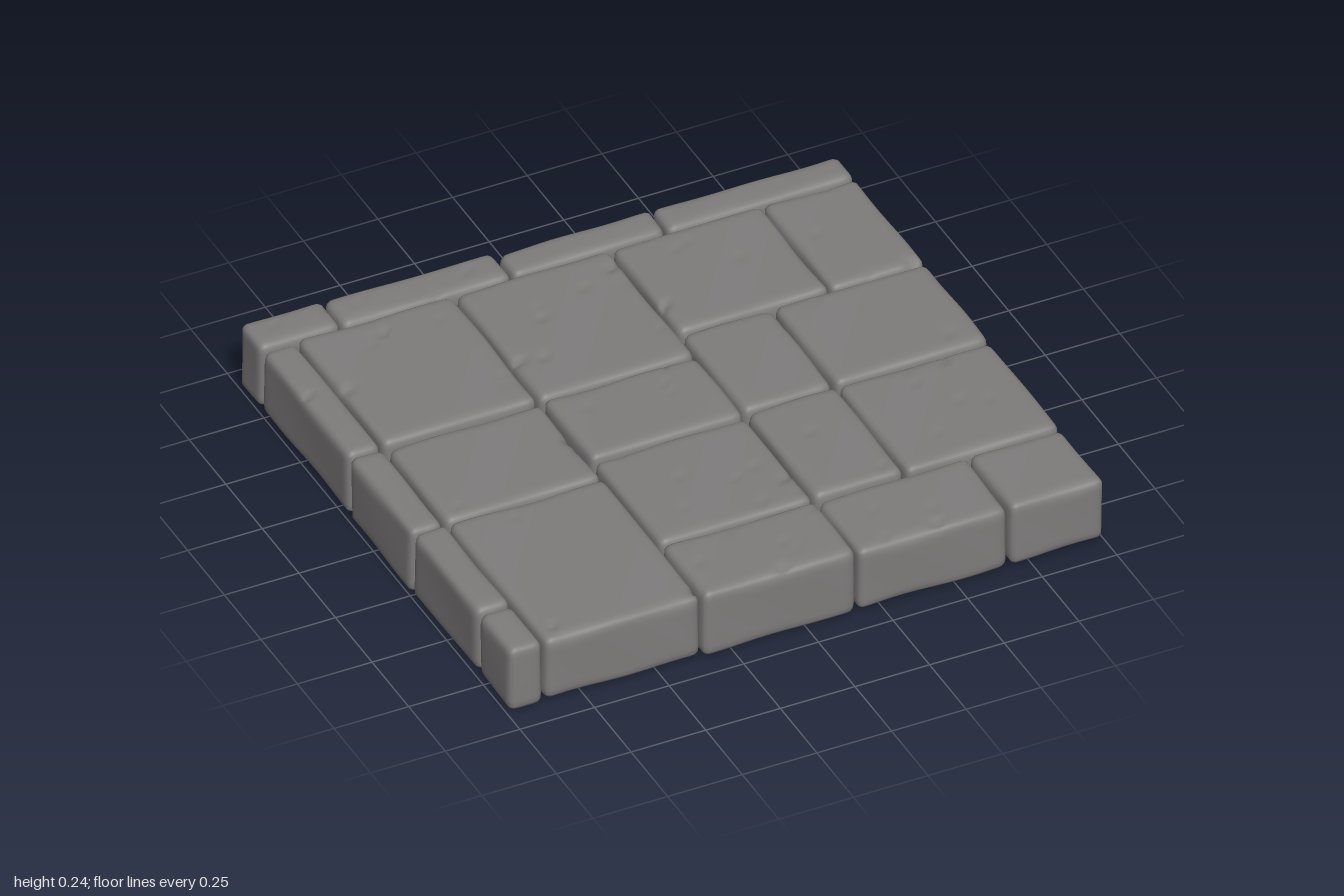
import * as THREE from 'three';
import { mergeVertices } from 'three/addons/utils/BufferGeometryUtils.js';

const clamp = THREE.MathUtils.clamp;

// Small seeded generator
function seeded(seed) {
  let s = seed;
  return () => (s = (s * 16807) % 2147483647) / 2147483647;
}

// Worn slab: a fine box grid pulled onto rounded edges, gently wavy, with pits on top and bottom
function slabGeometry(x0, x1, z0, z1, y0, y1, pits, seed) {
  const gap = 0.0025, step = 0.0185, r = 0.028;
  const w = x1 - x0 - gap * 2, d = z1 - z0 - gap * 2, h = y1 - y0;
  const segs = (n) => Math.max(6, Math.ceil(n / step));
  let geo = new THREE.BoxGeometry(w, h, d, segs(w), segs(h), segs(d));
  geo.deleteAttribute('uv');
  geo.deleteAttribute('normal');
  geo = mergeVertices(geo, 1e-5);
  const pos = geo.attributes.position;
  const p = new THREE.Vector3(), core = new THREE.Vector3(), dir = new THREE.Vector3();
  const cx = (x0 + x1) / 2, cy = (y0 + y1) / 2, cz = (z0 + z1) / 2;

  for (let i = 0; i < pos.count; i++) {
    p.fromBufferAttribute(pos, i);
    const side = Math.sign(p.y);
    // uneven wear makes the edge radius vary along the stone
    const wear = r + 0.006 * Math.sin(p.x * 17 + seed) * Math.sin(p.z * 15 + seed * 2);
    core.set(
      clamp(p.x, -w / 2 + wear, w / 2 - wear),
      clamp(p.y, -h / 2 + wear, h / 2 - wear),
      clamp(p.z, -d / 2 + wear, d / 2 - wear)
    );
    dir.subVectors(p, core);
    if (dir.lengthSq() > 1e-10) p.copy(core).addScaledVector(dir.normalize(), wear);
    // shallow waves pressed inwards
    const wave = 0.0015 * (1 + Math.sin(p.x * 11 + p.z * 8 + p.y * 13 + seed * 3));
    p.addScaledVector(dir, -wave);

    p.x += cx; p.y += cy; p.z += cz;
    for (const [px, pz, length, width, angle, depth, face] of pits) {
      if (face !== side) continue;
      const dx = p.x - px, dz = p.z - pz, c = Math.cos(angle), s = Math.sin(angle);
      const q = ((dx * c + dz * s) / length) ** 2 + ((dz * c - dx * s) / width) ** 2;
      if (q < 1 && Math.abs(p.y - cy) > h / 2 - 0.04) p.y -= side * depth * (1 - q) ** 2;
    }
    pos.setXYZ(i, p.x, p.y, p.z);
  }
  geo.computeVertexNormals();
  return geo;
}

export function createModel() {
  const group = new THREE.Group();
  const stone = new THREE.MeshStandardMaterial({ color: 0x7f7c7c });
  stone.name = 'grey stone';

  // Plan of every stone: x from, x to, z from, z to, top height
  const layout = {
    backEdgeStone: [
      [-1, -0.72, -0.93, -0.78, 0.24], [-0.72, -0.15, -0.93, -0.78, 0.236],
      [-0.15, 0.37, -0.91, -0.78, 0.238], [0.37, 1, -0.91, -0.78, 0.236],
    ],
    rightEdgeStone: [
      [-1, -0.88, -0.78, -0.18, 0.238], [-1, -0.88, -0.18, 0.25, 0.236],
      [-1, -0.88, 0.25, 0.7, 0.24], [-1, -0.88, 0.7, 0.928, 0.24],
    ],
    pavingSlab: [
      [-0.88, -0.355, -0.78, -0.18, 0.242], [-0.88, -0.355, -0.17, 0.25, 0.238],
      [-0.88, -0.35, 0.25, 0.928, 0.238],
      [-0.355, 0.17, -0.78, -0.18, 0.24], [-0.35, 0.17, -0.18, 0.16, 0.242],
      [-0.35, 0.17, 0.16, 0.63, 0.238], [-0.35, 0.17, 0.63, 0.928, 0.238],
      [0.17, 0.68, -0.78, -0.3, 0.24], [0.68, 1, -0.78, -0.3, 0.236],
      [0.17, 0.48, -0.3, 0.14, 0.238], [0.48, 1, -0.3, 0.14, 0.24],
      [0.17, 0.48, 0.14, 0.625, 0.24], [0.48, 1, 0.14, 0.625, 0.236],
      [0.17, 0.68, 0.625, 0.928, 0.23], [0.68, 1, 0.625, 0.928, 0.234],
    ],
  };

  // Larger chips: x, z, half length, half width, angle, depth, face (1 top, -1 bottom)
  const chips = [
    [-0.97, -0.51, 0.03, 0.02, 0.2], [-0.85, -0.48, 0.035, 0.022, 0.2],
    [-0.33, -0.38, 0.04, 0.022, 0.4], [-0.25, -0.37, 0.025, 0.02, 0],
    [0.14, -0.69, 0.05, 0.022, -0.5], [0.19, -0.44, 0.045, 0.022, -0.8],
    [0.14, 0.49, 0.045, 0.022, -0.6], [0.96, -0.32, 0.045, 0.022, 0.6],
    [-0.17, -0.55, 0.025, 0.02, 0.3], [-0.63, -0.69, 0.022, 0.02, 0],
    [-0.82, 0.86, 0.022, 0.022, 0], [-0.36, 0.88, 0.04, 0.022, 0.7],
    [-0.07, 0.9, 0.035, 0.022, 0.2], [0.45, 0.89, 0.035, 0.022, 0.5],
    [0.83, 0.17, 0.025, 0.025, 0], [-0.37, 0.03, 0.035, 0.022, 1.4],
  ].flatMap(([x, z, l, w, a]) => [[x, z, l, w, a, 0.014, 1], [-x, z * 0.9, l, w, a, 0.014, -1]]);

  // Scattered small pits
  const random = seeded(4127);
  for (let i = 0; i < 110; i++) {
    const size = 0.016 + random() * 0.008;
    chips.push([random() * 1.96 - 0.98, random() * 1.8 - 0.9, size * 1.2, size,
      random() * 3, 0.004 + random() * 0.004, i % 2 ? 1 : -1]);
  }

  let seed = 1;
  for (const [name, stones] of Object.entries(layout)) {
    for (const [x0, x1, z0, z1, top] of stones) {
      const near = chips.filter(([x, z]) => x > x0 - 0.05 && x < x1 + 0.05 && z > z0 - 0.05 && z < z1 + 0.05);
      const bottom = 0.004 * (seed % 3);
      const mesh = new THREE.Mesh(slabGeometry(x0, x1, z0, z1, bottom, top, near, seed++), stone);
      mesh.name = name;
      group.add(mesh);
    }
  }
  return group;
}
